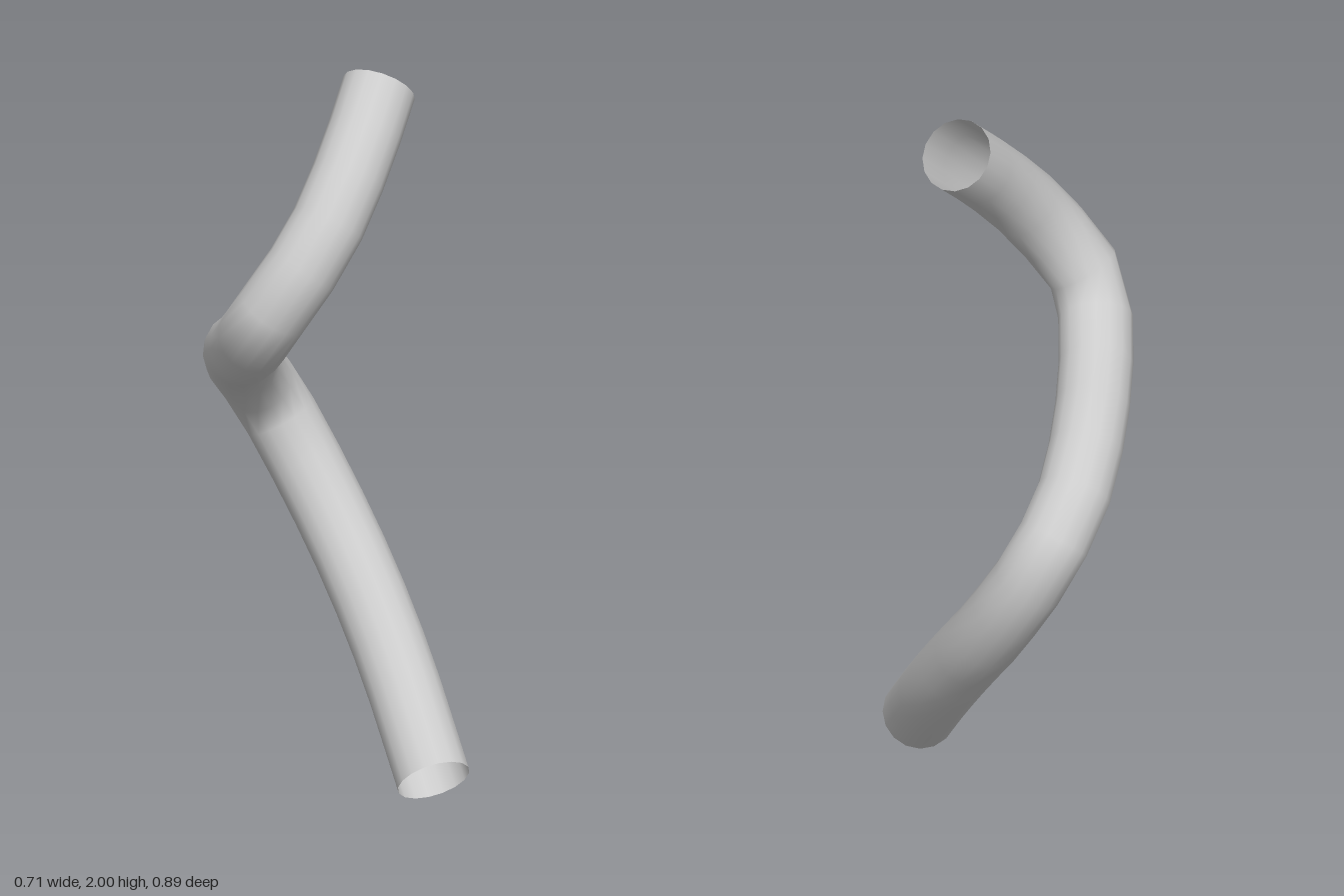
import * as THREE from 'three';

export function createModel() {
  const group = new THREE.Group();
  const material = new THREE.MeshStandardMaterial({ color: 0xcccccc, side: THREE.DoubleSide });

  // Centre line of the winding pipe, from the bottom end to the top end
  const path = new THREE.CatmullRomCurve3([
    [0.095, 0.08, 0.385],
    [0.195, 0.315, 0.14],
    [0.243, 0.5, -0.04],
    [0.26, 0.69, -0.21],
    [0.21, 0.92, -0.342],
    [0.09, 1.055, -0.312],
    [-0.04, 1.16, -0.2],
    [-0.195, 1.275, -0.01],
    [-0.263, 1.4, 0.125],
    [-0.15, 1.6, 0.2],
    [0, 1.77, 0.177],
    [0.165, 1.93, 0.11],
  ].map((p) => new THREE.Vector3(...p)));

  // Open-ended pipe
  const pipe = new THREE.Mesh(new THREE.TubeGeometry(path, 20, 0.098, 16, false), material);
  pipe.name = 'bentPipe';
  group.add(pipe);
  return group;
}
